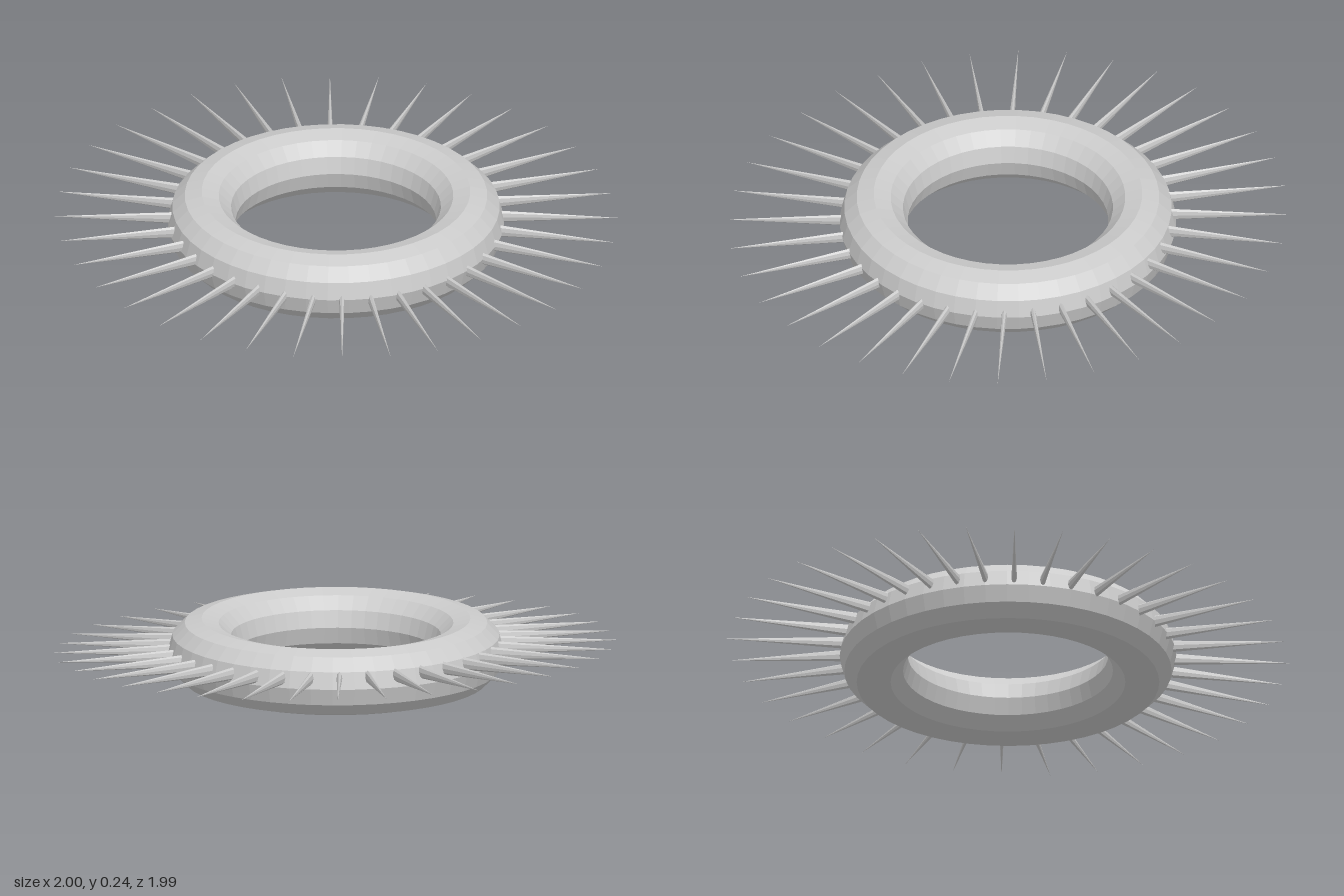
import * as THREE from 'three';

export function createModel() {
  const group = new THREE.Group();
  const material = new THREE.MeshStandardMaterial({ color: 0xcccccc, flatShading: true });

  // Faceted ring lying flat
  const ring = new THREE.Mesh(new THREE.TorusGeometry(0.475, 0.12, 12, 48), material);
  ring.name = 'ring';
  ring.rotation.x = Math.PI / 2;
  ring.position.y = 0.12;
  group.add(ring);

  // Spikes radiate from the rim in a slightly tilted, slightly turned plane
  const spikes = new THREE.Group();
  spikes.name = 'spikes';
  spikes.position.y = 0.137;
  spikes.rotation.set(0.043, 0, -0.007);

  // Tall, narrow cone pointing along +x
  const baseRadius = 0.56, tipRadius = 0.998, length = tipRadius - baseRadius;
  const spikeGeometry = new THREE.ConeGeometry(0.024, length, 8);
  spikeGeometry.rotateZ(-Math.PI / 2);
  spikeGeometry.scale(1, 1, 0.45);
  spikeGeometry.translate(length / 2, 0, 0);
  spikeGeometry.rotateY(-0.036); // each spike leans sideways from its root
  spikeGeometry.translate(baseRadius, 0, 0);

  const count = 36;
  for (let i = 0; i < count; i++) {
    const spike = new THREE.Mesh(spikeGeometry, material);
    spike.name = 'spike';
    spike.rotation.y = (i / count) * Math.PI * 2;
    spikes.add(spike);
  }
  group.add(spikes);
  return group;
}
